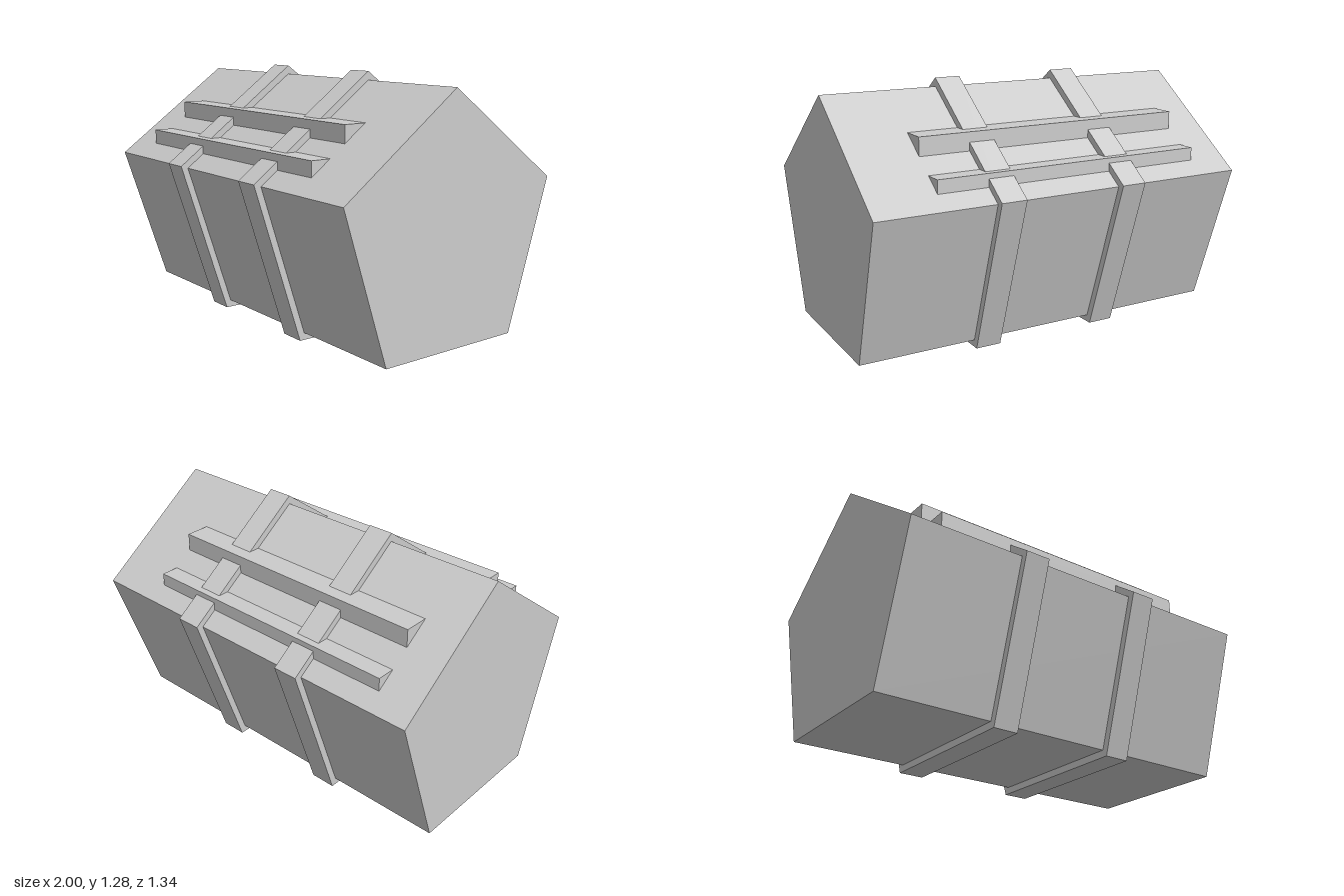
import * as THREE from 'three';

const material = new THREE.MeshStandardMaterial({ color: 0xcccccc, flatShading: true });

// Five-sided prism running along x, from x0 to x1
function pentagonPrism(name, apexY, eaveZ, eaveY, baseZ, baseY, x0, x1) {
  const shape = new THREE.Shape([
    new THREE.Vector2(-baseZ, baseY),
    new THREE.Vector2(baseZ, baseY),
    new THREE.Vector2(eaveZ, eaveY),
    new THREE.Vector2(0, apexY),
    new THREE.Vector2(-eaveZ, eaveY),
  ]);
  const geometry = new THREE.ExtrudeGeometry(shape, { depth: x1 - x0, bevelEnabled: false });
  geometry.rotateY(Math.PI / 2).translate(x0, 0, 0);
  const mesh = new THREE.Mesh(geometry, material);
  mesh.name = name;
  return mesh;
}

// Horizontal slat let into the sloping top
function slat(name, z0, z1, y0, y1) {
  const x0 = -0.79, x1 = 0.66;
  const mesh = new THREE.Mesh(new THREE.BoxGeometry(x1 - x0, y1 - y0, z1 - z0), material);
  mesh.position.set((x0 + x1) / 2, (y0 + y1) / 2, (z0 + z1) / 2);
  mesh.name = name;
  return mesh;
}

export function createModel() {
  const model = new THREE.Group();
  model.name = 'pentagonalChest';

  // Main body
  model.add(pentagonPrism('body', 1.24, 0.634, 0.782, 0.392, 0.036, -1, 1));

  // Two bands wrapped all the way around
  for (const [name, x0] of [['rightBand', -0.402], ['leftBand', 0.268]]) {
    model.add(pentagonPrism(name, 1.284, 0.672, 0.794, 0.416, 0, x0, x0 + 0.132));
  }

  // Slats on the front and back slopes
  model.add(
    slat('frontUpperSlat', 0.232, 0.355, 0.975, 1.07),
    slat('frontLowerSlat', 0.435, 0.542, 0.84, 0.924),
    slat('backUpperSlat', -0.362, -0.234, 0.97, 1.07),
    slat('backLowerSlat', -0.55, -0.456, 0.835, 0.909),
  );
  return model;
}
